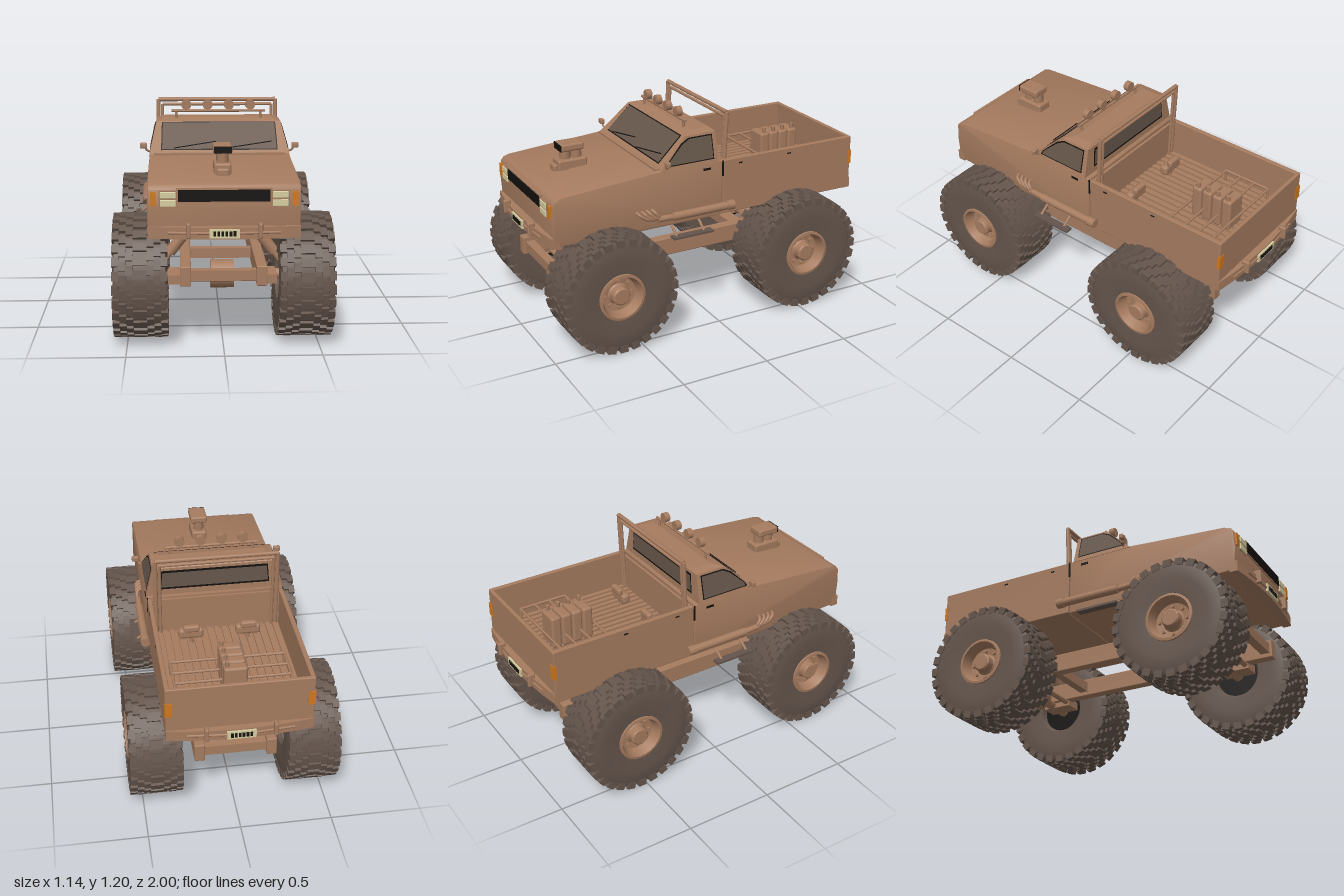
import * as THREE from 'three';
import { mergeGeometries, toCreasedNormals } from 'three/addons/utils/BufferGeometryUtils.js';
import { RoundedBoxGeometry } from 'three/addons/geometries/RoundedBoxGeometry.js';
import { ConvexGeometry } from 'three/addons/geometries/ConvexGeometry.js';

export function createModel() {
  const mat = (name, color, side = THREE.FrontSide) => {
    const m = new THREE.MeshStandardMaterial({ color, side });
    m.name = name;
    return m;
  };
  const paint = mat('brown paint', 0xa57b5f);
  const rubber = mat('tyre rubber', 0x64554c);
  const glass = mat('tinted glass', 0x66564a, THREE.DoubleSide);
  const black = mat('black trim', 0x14110f, THREE.DoubleSide);
  const lens = mat('cream lens', 0xd6cd9f);
  const amber = mat('amber lens', 0xd0781e);

  const truck = new THREE.Group();
  truck.name = 'monsterTruck';
  const V = (x, y, z) => new THREE.Vector3(x, y, z);
  const add = (name, geo, m = paint, parent = truck) => {
    const mesh = new THREE.Mesh(geo, m);
    mesh.name = name;
    parent.add(mesh);
    return mesh;
  };
  // box given by its min and max on each axis
  const box = (name, x0, x1, y0, y1, z0, z1, m, parent, r = 0) => {
    const s = [x1 - x0, y1 - y0, z1 - z0];
    const geo = r ? new RoundedBoxGeometry(...s, 2, r) : new THREE.BoxGeometry(...s);
    return add(name, geo.translate((x0 + x1) / 2, (y0 + y1) / 2, (z0 + z1) / 2), m, parent);
  };
  const rod = (name, a, b, r, m, parent, sides = 16) => {
    const d = b.clone().sub(a);
    const mesh = add(name, new THREE.CylinderGeometry(r, r, d.length(), sides), m, parent);
    mesh.position.copy(a).addScaledVector(d, 0.5);
    mesh.quaternion.setFromUnitVectors(V(0, 1, 0), d.normalize());
    return mesh;
  };
  const tube = (name, pts, r, m, parent) =>
    add(name, new THREE.TubeGeometry(new THREE.CatmullRomCurve3(pts, false, 'centripetal'), 20, r, 10), m, parent);
  const panel = (name, pts, m) => {
    const geo = new THREE.BufferGeometry().setFromPoints(pts);
    geo.setIndex(pts.slice(2).flatMap((_, i) => [0, i + 1, i + 2]));
    geo.computeVertexNormals();
    return add(name, geo, m);
  };
  const both = (fn) => [1, -1].forEach(fn);

  // Front body: side profile (z, y) extruded across the width
  const profile = new THREE.Shape([[-0.075, 0.6], [0.5, 0.6], [0.93, 0.615], [0.938, 0.75], [0.93, 0.85],
    [0.915, 0.87], [0.88, 0.882], [0.3, 0.925], [-0.075, 0.92]].map(([z, y]) => new THREE.Vector2(z, y)));
  const bodyGeo = new THREE.ExtrudeGeometry(profile, { depth: 0.754, bevelSize: 0.008, bevelOffset: -0.008, bevelThickness: 0.008, bevelSegments: 2 });
  bodyGeo.translate(0, 0, -0.377).rotateY(-Math.PI / 2);
  add('frontBody', toCreasedNormals(bodyGeo, 0.6));
  box('cowl', -0.36, 0.36, 0.92, 0.932, 0.3, 0.33, paint);

  // Cab and windows
  const cabPts = [];
  both((s) => cabPts.push(V(s * 0.388, 0.915, 0.3155), V(s * 0.388, 0.915, -0.05), V(s * 0.348, 1.085, 0.14),
    V(s * 0.348, 1.085, -0.045), V(s * 0.3, 1.1, 0.08), V(s * 0.3, 1.1, -0.03)));
  add('cab', new ConvexGeometry(cabPts));
  const screen = (x, t, o) => V(x, 0.93 + 0.155 * t + o, 0.3 - 0.16 * t + o);
  const back = (x, y, o) => V(x, y, -0.05 + 0.0294 * (y - 0.915) - o);
  const windows = [[black, 0, 0.002], [glass, 0.006, 0.004]];
  for (const [m, d, o] of windows) {
    const n = m === black ? 'Seal' : 'Glass';
    panel('windscreen' + n, [screen(-0.322 + d, 0.08 + d * 5, o), screen(0.322 - d, 0.08 + d * 5, o),
      screen(0.318 - d, 0.97 - d * 5, o), screen(-0.318 + d, 0.97 - d * 5, o)], m);
    panel('rearWindow' + n, [back(0.31 - d, 0.955 + 2 * d, o), back(-0.31 + d, 0.955 + 2 * d, o),
      back(-0.3 + d, 1.07 - 2 * d, o), back(0.3 - d, 1.07 - 2 * d, o)], m);
    both((s) => {
      const p = (y, z) => V(s * (0.388 - 0.235 * (y - 0.915) + o), y, z);
      panel('sideWindow' + n, [p(0.94 + d, -0.022 + d), p(0.94 + d, 0.272 - 2 * d), p(0.965, 0.258 - d),
        p(1.05 - d, 0.172 - d), p(1.075 - d, 0.125 - d), p(1.075 - d, -0.022 + d)], m);
    });
  }
  rod('wiper', screen(-0.25, 0.12, 0.008), screen(-0.02, 0.32, 0.008), 0.003, black, truck, 6);
  rod('wiper', screen(0.05, 0.12, 0.008), screen(0.29, 0.32, 0.008), 0.003, black, truck, 6);

  // Cargo bed with ribbed floor
  box('bedFloor', -0.375, 0.375, 0.605, 0.7, -0.93, -0.085, paint);
  box('bedFrontWall', -0.375, 0.375, 0.61, 0.915, -0.1, -0.085, paint);
  box('tailgate', -0.385, 0.385, 0.615, 0.92, -0.94, -0.918, paint, truck, 0.006);
  for (let i = -8; i <= 8; i++) box('floorRib', i * 0.042 - 0.013, i * 0.042 + 0.013, 0.7, 0.712, -0.918, -0.1, paint);
  both((s) => {
    const wall = box('bedWall', -0.0125, 0.0125, 0.605, 0.92, -0.935, -0.082, paint, truck, 0.005);
    wall.position.x = s * 0.3725;
    for (const z of [-0.19, -0.51]) box('stakeHole', s * 0.3855 - 0.002, s * 0.3855 + 0.002, 0.886, 0.893, z - 0.012, z + 0.012, black);
    box('cabSeam', s * 0.3845 - 0.003, s * 0.3845 + 0.003, 0.83, 0.92, -0.082, -0.074, black);
    box('doorHandle', s * 0.386 - 0.003, s * 0.386 + 0.003, 0.882, 0.894, 0, 0.045, black);
  });

  // Fuel cans held in a rack, and the two bed lamps
  for (let i = 0; i < 4; i++) {
    const z = -0.56 - i * 0.064;
    box('fuelCan', -0.065, 0.06, 0.712, 0.9, z - 0.029, z + 0.029, paint, truck, 0.014);
    rod('canCap', V(0.04, 0.89, z), V(0.04, 0.928, z), 0.011, paint, truck, 10);
  }
  for (const z of [-0.79, -0.7, -0.61, -0.51]) rod('rackBar', V(-0.31, 0.78, z), V(0.31, 0.78, z), 0.008, paint, truck, 8);
  both((s) => {
    rod('rackRail', V(s * 0.31, 0.78, -0.79), V(s * 0.31, 0.78, -0.51), 0.008, paint, truck, 8);
    for (const z of [-0.79, -0.51]) rod('rackPost', V(s * 0.31, 0.7, z), V(s * 0.31, 0.78, z), 0.008, paint, truck, 8);
    box('bedLamp', s * 0.16 - 0.07, s * 0.16 + 0.07, 0.74, 0.8, -0.25, -0.2, paint, truck, 0.018);
    box('bedLampTop', s * 0.16 - 0.045, s * 0.16 + 0.045, 0.79, 0.83, -0.265, -0.23, paint, truck, 0.012);
    rod('bedLampPost', V(s * 0.16, 0.7, -0.225), V(s * 0.16, 0.76, -0.225), 0.012, paint);
  });

  // Roll bar behind the cab
  for (const [x, y, r] of [[0.34, 1.178, 0.012], [0.317, 1.15, 0.009]]) {
    both((s) => rod('rollBarPost', V(s * x, 0.7, -0.1), V(s * x, y, -0.122), r, paint));
    rod('rollBarTop', V(-x, y, -0.122), V(x, y, -0.122), r, paint);
  }

  // Roof light bar
  rod('lightBar', V(-0.265, 1.138, 0.09), V(0.265, 1.138, 0.09), 0.008, paint);
  both((s) => rod('lightBarFoot', V(s * 0.238, 1.08, 0.09), V(s * 0.238, 1.138, 0.09), 0.007, paint));
  for (const x of [-0.18, -0.06, 0.06, 0.18]) {
    rod('roofLamp', V(x, 1.172, 0.078), V(x, 1.172, 0.108), 0.028, paint, truck, 20);
    rod('roofLampRim', V(x, 1.172, 0.106), V(x, 1.172, 0.112), 0.024, paint, truck, 20);
  }

  // Engine blower through the hood
  box('blowerBase', -0.045, 0.045, 0.87, 0.948, 0.58, 0.75, paint, truck, 0.012);
  box('blowerPulley', -0.033, 0.033, 0.88, 0.925, 0.745, 0.775, paint, truck, 0.01);
  for (const z of [0.63, 0.695]) rod('intakeNeck', V(0, 0.94, z), V(0, 1.0, z), 0.03, paint);
  box('intakeScoop', -0.05, 0.05, 0.995, 1.038, 0.6, 0.735, paint, truck, 0.012);
  box('scoopOpening', -0.046, 0.046, 0.999, 1.034, 0.732, 0.738, black);

  // Grille and lamps
  box('grilleFrame', -0.24, 0.24, 0.782, 0.858, 0.925, 0.942, paint);
  box('grille', -0.23, 0.23, 0.791, 0.85, 0.94, 0.946, black);
  both((s) => {
    const b = (name, x0, x1, ...rest) => box(name, Math.min(s * x0, s * x1), Math.max(s * x0, s * x1), ...rest);
    b('headlightFrame', 0.236, 0.326, 0.76, 0.846, 0.925, 0.941, paint);
    b('headlightUpper', 0.241, 0.321, 0.807, 0.841, 0.935, 0.947, lens, truck, 0.004);
    b('headlightLower', 0.241, 0.321, 0.765, 0.8, 0.935, 0.947, lens, truck, 0.004);
    b('frontIndicator', 0.342, 0.37, 0.768, 0.84, 0.925, 0.944, amber);
    b('tailLight', 0.35, 0.388, 0.755, 0.835, -0.944, -0.925, amber);
  });

  // Bumpers, the rear being the front turned about
  const bow = new THREE.Shape();
  bow.moveTo(-0.385, 0.9);
  bow.lineTo(0.385, 0.9);
  bow.lineTo(0.385, 0.945);
  bow.quadraticCurveTo(0, 1.012, -0.385, 0.945);
  const bowGeo = toCreasedNormals(new THREE.ExtrudeGeometry(bow, { depth: 0.06, bevelEnabled: false, curveSegments: 20 })
    .rotateX(Math.PI / 2).translate(0, 0.665, 0), 0.6);
  both((s) => {
    const bumper = new THREE.Group();
    bumper.name = s > 0 ? 'frontBumper' : 'rearBumper';
    if (s < 0) bumper.rotation.y = Math.PI;
    truck.add(bumper);
    add('bumperBow', bowGeo, paint, bumper);
    tube('bumperTube', [V(-0.28, 0.637, 0.962), V(0, 0.637, 0.982), V(0.28, 0.637, 0.962)], 0.007, paint, bumper);
    both((t) => box('overrider', t * 0.18 - 0.011, t * 0.18 + 0.011, 0.612, 0.69, 0.955, 0.998, paint, bumper, 0.008));
    box('plate', -0.076, 0.076, 0.613, 0.66, 0.98, 0.99, lens, bumper);
    for (let i = -2.5; i < 3; i++) box('plateStripe', i * 0.02 - 0.007, i * 0.02 + 0.007, 0.624, 0.65, 0.99, 0.993, black, bumper);
  });

  // Mirrors, side exhausts and steps
  both((s) => {
    const b = (name, x0, x1, ...rest) => box(name, Math.min(s * x0, s * x1), Math.max(s * x0, s * x1), ...rest);
    b('mirror', 0.398, 0.438, 0.955, 0.985, 0.27, 0.295, paint, truck, 0.007);
    tube('mirrorArm', [V(s * 0.38, 0.935, 0.27), V(s * 0.4, 0.945, 0.28), V(s * 0.41, 0.965, 0.283)], 0.006);
    rod('exhaustMuffler', V(s * 0.408, 0.66, 0.25), V(s * 0.408, 0.66, -0.1), 0.023, paint);
    rod('exhaustTip', V(s * 0.408, 0.66, -0.09), V(s * 0.408, 0.66, -0.135), 0.027, paint);
    rod('exhaustCollector', V(s * 0.408, 0.663, 0.34), V(s * 0.408, 0.66, 0.25), 0.017, paint);
    for (let i = 0; i < 4; i++) {
      const z = 0.355 + i * 0.03;
      tube('exhaustHeader', [V(s * 0.375, 0.715, z + 0.01), V(s * 0.405, 0.705, z), V(s * 0.413, 0.68, z - 0.02 - i * 0.005), V(s * 0.408, 0.663, 0.33)], 0.01);
    }
    b('sideStep', 0.425, 0.47, 0.548, 0.56, 0.025, 0.27, rubber);
    for (const z of [0.07, 0.24]) rod('stepHanger', V(s * 0.37, 0.605, z), V(s * 0.44, 0.555, z), 0.008, paint, truck, 8);
  });

  // Chassis rails
  both((s) => box('chassisRail', s * 0.195 - 0.028, s * 0.195 + 0.028, 0.34, 0.445, -0.82, 0.9, paint, truck, 0.006));
  for (const z of [-0.78, -0.3, 0.4, 0.86]) box('crossBeam', -0.17, 0.17, 0.365, 0.42, z - 0.025, z + 0.025, paint);

  // Tyre carcass, stepped chevron tread and rim, all along a local x axis
  const lathe = (pts, n = 48) => toCreasedNormals(
    new THREE.LatheGeometry(pts.map((p) => new THREE.Vector2(...p)), n).rotateZ(-Math.PI / 2), 0.6);
  const tyreGeo = lathe([[0.12, -0.11], [0.135, -0.135], [0.22, -0.141], [0.29, -0.138], [0.312, -0.13], [0.317, -0.06],
    [0.318, 0.06], [0.312, 0.13], [0.29, 0.138], [0.22, 0.141], [0.135, 0.135], [0.12, 0.11]]);
  const lugs = [];
  const count = 28, cols = 8, pitch = (Math.PI * 2) / count;
  for (let i = 0; i < count; i++) {
    for (let c = 0; c < cols; c++) {
      const x = (c + 0.5 - cols / 2) * (0.284 / cols);
      const edge = c === 0 || c === cols - 1;
      const lug = new THREE.BoxGeometry(0.0355, edge ? 0.04 : 0.025, 0.046);
      lug.translate(x, edge ? 0.309 : 0.3185, 0);
      lug.rotateX(pitch * (i + Math.abs(c - 3.5) * 0.3));
      lugs.push(lug);
    }
  }
  const treadGeo = mergeGeometries(lugs);
  const rimGeo = lathe([[0.134, 0.125], [0.132, 0.141], [0.118, 0.143], [0.108, 0.12], [0.098, 0.085], [0.06, 0.08],
    [0.052, 0.088], [0.05, 0.125], [0.042, 0.132], [0, 0.132]], 32);
  const backGeo = lathe([[0, -0.1], [0.125, -0.1], [0.125, -0.09]], 32);

  for (const [z, end] of [[0.63, 'front'], [-0.535, 'rear']]) {
    // Axle, differential and shock absorbers
    rod(end + 'Axle', V(-0.34, 0.333, z), V(0.34, 0.333, z), 0.028, paint);
    rod(end + 'Differential', V(-0.062, 0.335, z), V(0.062, 0.335, z), 0.075, paint, truck, 24);
    rod(end + 'TieRod', V(-0.285, 0.335, z + 0.1), V(0.285, 0.335, z + 0.1), 0.016, paint);
    both((s) => {
      box(end + 'AxleMount', s * 0.235 - 0.05, s * 0.235 + 0.05, 0.31, 0.358, z - 0.05, z + 0.12, paint);
      rod(end + 'Shock', V(s * 0.275, 0.455, z), V(s * 0.175, 0.585, z), 0.03, paint);
      rod(end + 'ShockRod', V(s * 0.305, 0.41, z), V(s * 0.15, 0.615, z), 0.015, paint);

      const wheel = new THREE.Group();
      wheel.name = end + 'Wheel';
      wheel.position.set(s * 0.4275, 0.334, z);
      if (s < 0) wheel.rotation.y = Math.PI;
      truck.add(wheel);
      add('tyre', tyreGeo, rubber, wheel);
      add('tread', treadGeo, rubber, wheel);
      add('rim', rimGeo, paint, wheel);
      add('wheelBack', backGeo, black, wheel);
      for (let i = 0; i < 8; i++) {
        const a = (i * Math.PI) / 4, y = Math.cos(a) * 0.078, w = Math.sin(a) * 0.078;
        rod('wheelNut', V(0.075, y, w), V(0.097, y, w), 0.009, paint, wheel, 6);
      }
    });
  }
  return truck;
}
